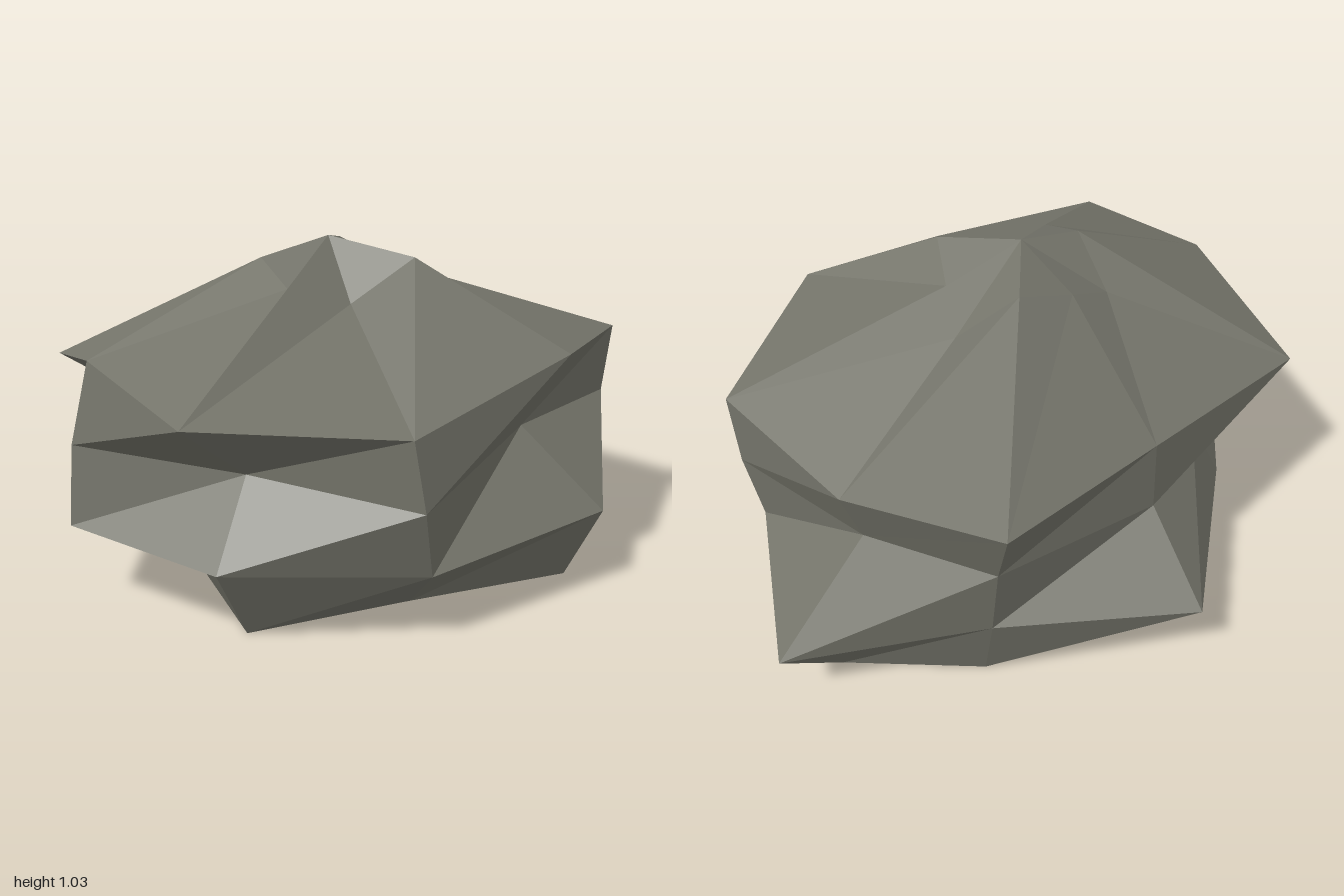
import * as THREE from 'three';

// Horizontal cross-sections from crown to ground: nine [x, z] points each,
// starting on the left side and turning towards the front.
const RINGS = [
  { y: 0.92, wave: 0.063, pts: [[0.10, 0.15], [0.02, 0.33], [-0.18, 0.30], [-0.38, 0.29], [-0.38, 0.11], [-0.36, -0.08], [-0.20, -0.11], [0.00, -0.11], [0.18, -0.03]] },
  { y: 0.68, wave: 0.06, pts: [[0.81, 0.30], [0.31, 0.72], [-0.30, 0.87], [-0.87, 0.68], [-0.93, 0.13], [-0.85, -0.45], [-0.15, -0.61], [0.48, -0.76], [0.71, -0.24]] },
  { y: 0.453, wave: 0.037, pts: [[0.80, 0.27], [0.26, 0.56], [-0.27, 0.885], [-0.60, 0.47], [-0.98, 0.10], [-0.54, -0.35], [-0.15, -0.62], [0.43, -0.64], [0.63, -0.21]] },
  { y: 0.23, wave: 0.02, pts: [[0.76, 0.24], [0.43, 0.755], [-0.22, 0.84], [-0.75, 0.60], [-1.00, 0.11], [-0.63, -0.40], [-0.14, -0.89], [0.43, -0.61], [1.00, -0.35]] },
  { y: 0, wave: 0, pts: [[0.60, 0.18], [0.40, 0.62], [-0.12, 0.56], [-0.63, 0.52], [-0.58, 0.09], [-0.57, -0.39], [-0.06, -0.59], [0.41, -0.54], [0.77, -0.28]] },
];
const APEX = [-0.15, 1.03, 0.10];
const STEP = [0, 1, -1]; // heights repeat every three points: middle, high, low

export function createModel() {
  const group = new THREE.Group();
  group.name = 'rock';

  const stone = new THREE.MeshStandardMaterial({ color: 0x74746a, flatShading: true, side: THREE.DoubleSide });
  stone.name = 'grey stone';

  const rings = RINGS.map(({ y, wave, pts }) => pts.map(([x, z], i) => [x, y + wave * STEP[i % 3], z]));
  const n = rings[0].length;
  const corners = [];
  const face = (a, b, c) => corners.push(...a, ...b, ...c);

  for (let i = 0; i < n; i++) {
    const j = (i + 1) % n;
    // crown fan
    face(APEX, rings[0][j], rings[0][i]);
    // walls between neighbouring rings; the underside stays open
    for (let r = 0; r < rings.length - 1; r++) {
      const up = rings[r], low = rings[r + 1];
      face(up[i], up[j], low[j]);
      face(up[i], low[j], low[i]);
    }
  }

  const geometry = new THREE.BufferGeometry();
  geometry.setAttribute('position', new THREE.Float32BufferAttribute(corners, 3));
  geometry.computeVertexNormals();

  const boulder = new THREE.Mesh(geometry, stone);
  boulder.name = 'boulder';
  group.add(boulder);
  return group;
}
